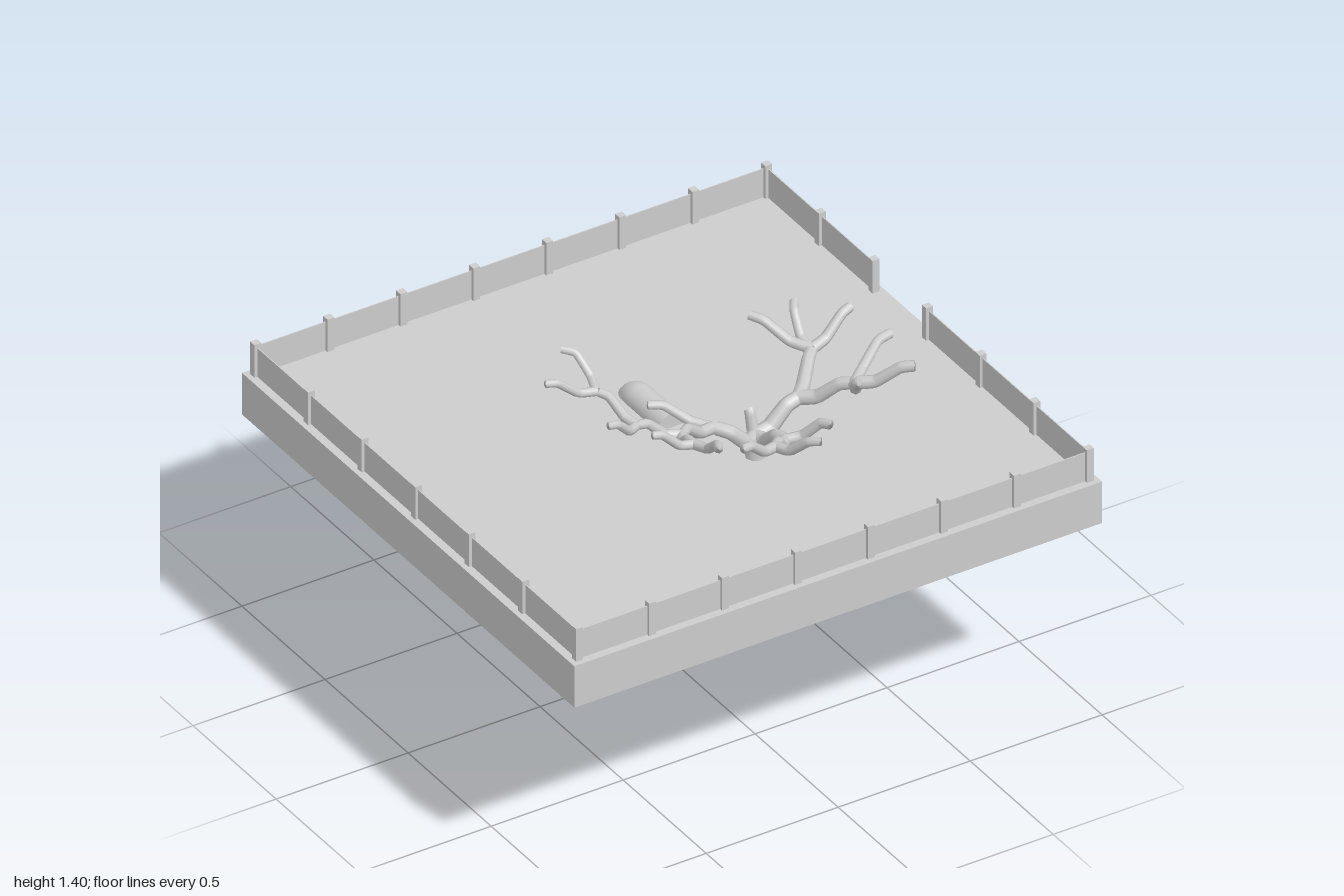
import * as THREE from 'three';

const grey = new THREE.MeshStandardMaterial({ color: 0xcccccc, side: THREE.DoubleSide });
grey.name = 'plainGrey';

function add(parent, name, geometry, x = 0, y = 0, z = 0) {
  const mesh = new THREE.Mesh(geometry, grey);
  mesh.name = name;
  mesh.position.set(x, y, z);
  parent.add(mesh);
}

// Tapered, flat-ended tube through a few points
function branchGeometry(points, r0, r1) {
  const curve = new THREE.CatmullRomCurve3(points, false, 'catmullrom', 0.2);
  const n = 18, sides = 8;
  const geo = new THREE.TubeGeometry(curve, n, 1, sides, false);
  const pos = geo.attributes.position, v = new THREE.Vector3();
  for (let i = 0; i <= n; i++) {
    const centre = curve.getPointAt(i / n);
    // the last ring shrinks to a point just past the one before, capping the tip
    const tip = i === n;
    const target = tip ? curve.getPointAt((n - 0.9) / n) : centre;
    const r = tip ? 0.0001 : THREE.MathUtils.lerp(r0, r1, i / n);
    for (let j = 0; j <= sides; j++) {
      const k = i * (sides + 1) + j;
      v.fromBufferAttribute(pos, k).sub(centre).multiplyScalar(r).add(target);
      pos.setXYZ(k, v.x, v.y, v.z);
    }
  }
  return geo;
}

function buildTree() {
  const tree = new THREE.Group();
  tree.name = 'tree';

  // Each branch runs out flat, climbs one tier and flattens again; bow bends it sideways
  function grow(from, r, x, z, bow = 0) {
    const tier = 0.083;
    const end = new THREE.Vector3(x, from.y + tier, z);
    const across = new THREE.Vector3(from.z - z, 0, x - from.x).normalize().multiplyScalar(bow);
    const low = from.clone().lerp(end, 0.33).add(across);
    const high = from.clone().lerp(end, 0.72).add(across);
    low.y = from.y + 0.012;
    high.y = end.y - 0.012;
    add(tree, 'branch', branchGeometry([from, low, high, end], r, r * 0.82));
    return end;
  }

  // Trunk and its stub
  const base = new THREE.Vector3(0.14, 0.975, 0.28);
  add(tree, 'trunk', new THREE.CylinderGeometry(0.03, 0.036, 0.1, 8), base.x, 0.94, base.z);
  grow(base, 0.022, 0.14, 0.235);

  // Left limb
  const left = grow(base, 0.03, 0.31, 0.27);
  const leftBack = grow(left, 0.026, 0.43, 0.16);
  grow(leftBack, 0.02, 0.61, 0.12);
  grow(leftBack, 0.019, 0.29, -0.02);
  grow(leftBack, 0.018, 0.47, -0.01, -0.018);
  const leftFront = grow(left, 0.026, 0.44, 0.4);
  grow(leftFront, 0.02, 0.64, 0.32, -0.02);
  grow(leftFront, 0.022, 0.37, 0.53);
  grow(leftFront, 0.023, 0.6, 0.53);

  // Front limb
  const front = grow(base, 0.028, 0.14, 0.455);
  grow(front, 0.02, 0.25, 0.57, -0.02);
  const frontFork = grow(front, 0.022, 0.03, 0.575);
  grow(frontFork, 0.019, -0.14, 0.64);
  grow(frontFork, 0.019, 0.11, 0.74, 0.012);

  // Right limb, reaching two tiers higher
  const right = grow(base, 0.028, -0.015, 0.27, -0.035);
  grow(right, 0.018, -0.2, 0.15, 0.018);
  const rightFork = grow(right, 0.022, -0.19, 0.36, 0.012);
  const rightFront = grow(rightFork, 0.019, -0.25, 0.53, 0.01);
  grow(rightFront, 0.017, -0.41, 0.52);
  grow(rightFront, 0.018, -0.27, 0.71, -0.02);
  const rightOuter = grow(rightFork, 0.019, -0.35, 0.34, 0.01);
  grow(rightOuter, 0.017, -0.5, 0.4, -0.012);
  const rightBack = grow(rightOuter, 0.018, -0.42, 0.21, 0.01);
  grow(rightBack, 0.016, -0.61, 0.19);
  grow(rightBack, 0.016, -0.46, 0.04, 0.035);
  return tree;
}

// Upright pipe through the deck that bends forward and lies half sunk on top
function buildPipe(deckTop) {
  const pipe = new THREE.Group();
  pipe.name = 'pipe';
  const r = 0.053, bend = 0.055, z = -0.245;
  const bendY = deckTop - bend, bendZ = z + bend;
  add(pipe, 'pipeUpright', new THREE.CylinderGeometry(r, r, bendY, 32), 0, bendY / 2, z);
  add(pipe, 'pipeElbow', new THREE.TorusGeometry(bend, r, 24, 12, Math.PI / 2).rotateY(Math.PI / 2), 0, bendY, bendZ);
  add(pipe, 'pipeOutlet', new THREE.CylinderGeometry(r, r, -bendZ, 32).rotateX(Math.PI / 2), 0, deckTop, bendZ / 2);
  return pipe;
}

// Posts around the edge with thin panels between, one opening on the left side
function buildFence() {
  const fence = new THREE.Group();
  fence.name = 'fence';
  const edge = 0.968, postY = 0.9625, panelY = 0.955;
  const stepX = 2 * edge / 7, stepZ = 2 * edge / 6;
  const post = new THREE.BoxGeometry(0.026, 0.125, 0.026);
  const panelX = new THREE.BoxGeometry(stepX, 0.11, 0.004);
  const panelZ = new THREE.BoxGeometry(0.004, 0.11, stepZ);
  for (const side of [-1, 1]) {
    for (let i = 0; i < 8; i++) {
      const x = -edge + i * stepX;
      add(fence, 'post', post, x, postY, side * edge);
      if (i < 7) add(fence, 'panel', panelX, x + stepX / 2, panelY, side * edge);
    }
    for (let i = 0; i < 6; i++) {
      const z = -edge + i * stepZ;
      const opening = side === 1 && i === 2;
      if (i > 0) add(fence, 'post', post, side * edge, postY, z);
      if (!opening) add(fence, 'panel', panelZ, side * edge, panelY, z + stepZ / 2);
    }
  }
  return fence;
}

export function createModel() {
  const model = new THREE.Group();
  model.name = 'fencedPlatform';
  add(model, 'deck', new THREE.BoxGeometry(2, 0.16, 2), 0, 0.82, 0);
  model.add(buildPipe(0.9), buildFence(), buildTree());
  return model;
}
